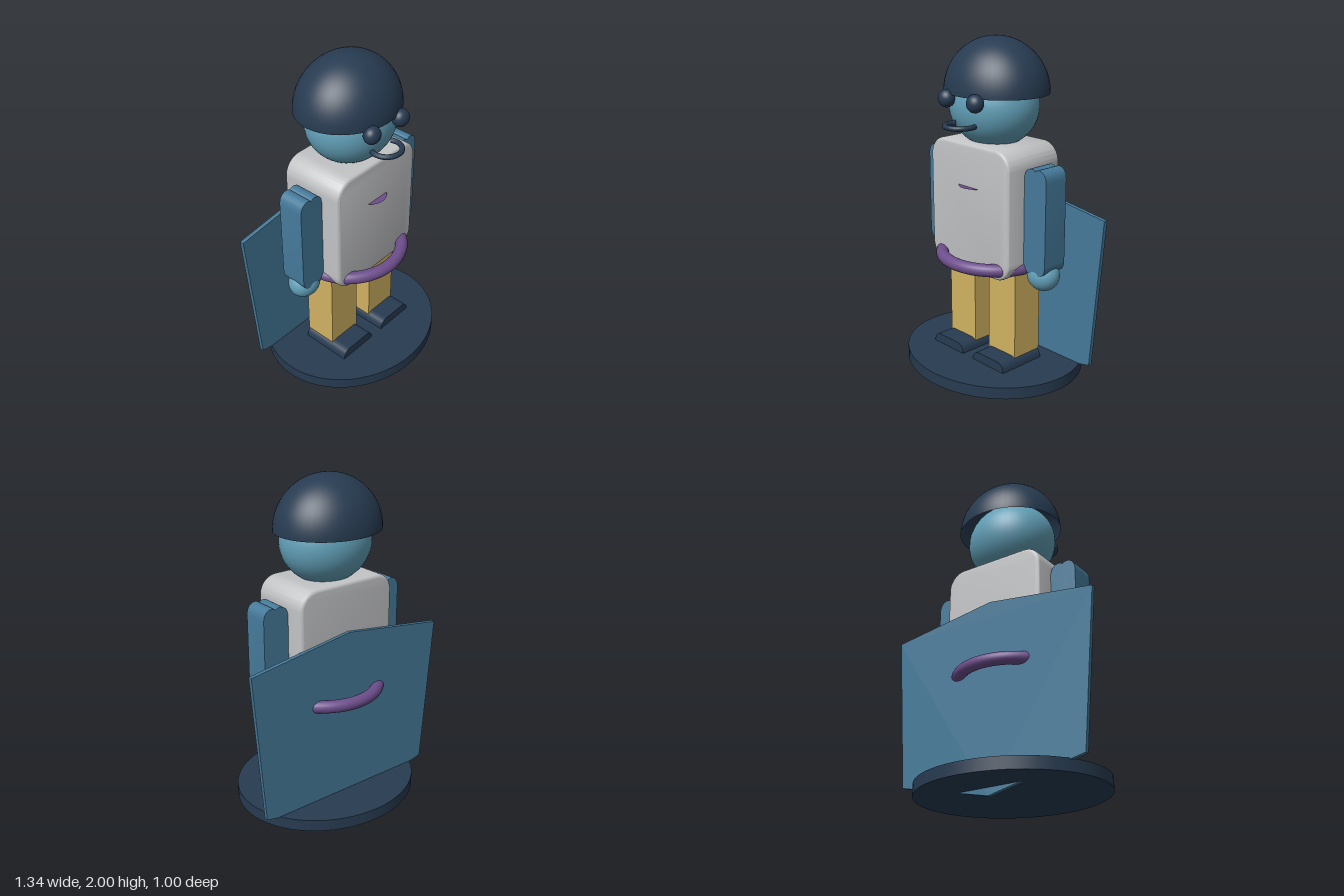
import * as THREE from 'three';
import { toCreasedNormals } from 'three/addons/utils/BufferGeometryUtils.js';

const material = (name, color, side = THREE.FrontSide) => {
  const m = new THREE.MeshStandardMaterial({ color, side });
  m.name = name;
  return m;
};

// Rounded rectangle centred on the origin
function roundedRect(w, h, r) {
  const x = w / 2, y = h / 2;
  const s = new THREE.Shape();
  s.moveTo(-x + r, -y);
  s.lineTo(x - r, -y);
  s.absarc(x - r, -y + r, r, -Math.PI / 2, 0);
  s.lineTo(x, y - r);
  s.absarc(x - r, y - r, r, 0, Math.PI / 2);
  s.lineTo(-x + r, y);
  s.absarc(-x + r, y - r, r, Math.PI / 2, Math.PI);
  s.lineTo(-x, -y + r);
  s.absarc(-x + r, -y + r, r, Math.PI, Math.PI * 1.5);
  return s;
}

// Extrusion centred in depth, with an optional bevel kept inside the total depth
function slab(shape, depth, bevel = 0) {
  const g = new THREE.ExtrudeGeometry(shape, {
    depth: depth - 2 * bevel, curveSegments: 12, bevelEnabled: bevel > 0,
    bevelThickness: bevel, bevelSize: bevel, bevelOffset: -bevel, bevelSegments: 4,
  });
  g.translate(0, 0, -depth / 2 + bevel);
  return toCreasedNormals(g, 0.6);
}

export function createModel() {
  const model = new THREE.Group();
  const navy = material('navy', 0x273b51, THREE.DoubleSide);
  const blue = material('blue', 0x457a9a);
  const skin = material('teal skin', 0x62a0b8);
  const grey = material('light grey', 0xc3c4c6);
  const gold = material('gold', 0xd0b261);
  const purple = material('purple', 0x6d4e8c, THREE.DoubleSide);

  const add = (name, geometry, mat, x, y, z) => {
    const mesh = new THREE.Mesh(geometry, mat);
    mesh.name = name;
    mesh.position.set(x, y, z);
    model.add(mesh);
    return mesh;
  };
  const ball = (rx, ry, rz) => new THREE.SphereGeometry(1, 40, 28).scale(rx, ry, rz);

  // Oval stand
  add('stand', new THREE.CylinderGeometry(1, 1, 0.07, 64).scale(0.565, 1, 0.5), navy, 0, 0.08, 0);

  // Torso, with the belt ring and small chest disc poking out of it
  add('torso', slab(roundedRect(0.65, 0.755, 0.11), 0.4, 0.02), grey, 0, 1.042, 0);
  add('belt', new THREE.TorusGeometry(0.3, 0.037, 20, 64).rotateX(Math.PI / 2).scale(1.05, 1, 1),
    purple, 0, 0.728, 0);
  add('chestDisc', new THREE.CircleGeometry(0.1, 32).rotateX(-Math.PI / 2), purple, 0, 1.17, 0.14);

  // Head and helmet
  add('head', ball(0.275, 0.245, 0.243), skin, 0, 1.62, 0);
  add('helmet', new THREE.SphereGeometry(1, 48, 20, 0, Math.PI * 2, 0, Math.PI / 2)
    .scale(0.322, 0.31, 0.283), navy, 0, 1.69, -0.02);

  // Mouth: flat-lying arc in front of the face
  const arc = Math.PI * 1.25;
  add('mouth', new THREE.TorusGeometry(0.085, 0.015, 12, 32, arc)
    .rotateZ(Math.PI / 2 - arc / 2).rotateX(Math.PI / 2), navy, 0, 1.53, 0.255);

  // Arm outline with a shallow notch at both ends
  const arm = new THREE.Shape();
  arm.moveTo(-0.081, -0.24);
  arm.quadraticCurveTo(-0.078, -0.3, -0.028, -0.305);
  arm.quadraticCurveTo(-0.01, -0.304, 0, -0.293);
  arm.quadraticCurveTo(0.01, -0.304, 0.028, -0.305);
  arm.quadraticCurveTo(0.078, -0.3, 0.081, -0.24);
  arm.lineTo(0.081, 0.24);
  arm.quadraticCurveTo(0.078, 0.3, 0.028, 0.305);
  arm.quadraticCurveTo(0.01, 0.304, 0, 0.293);
  arm.quadraticCurveTo(-0.01, 0.304, -0.028, 0.305);
  arm.quadraticCurveTo(-0.078, 0.3, -0.081, 0.24);

  // Shoe outline, rounded along its top edges
  const shoe = new THREE.Shape();
  shoe.moveTo(-0.13, 0);
  shoe.lineTo(0.13, 0);
  shoe.quadraticCurveTo(0.125, 0.06, 0.075, 0.06);
  shoe.lineTo(-0.075, 0.06);
  shoe.quadraticCurveTo(-0.125, 0.06, -0.13, 0);

  // Paired parts
  for (const [side, s] of [['left', 1], ['right', -1]]) {
    add(side + 'Eye', ball(0.052, 0.051, 0.046), navy, s * 0.117, 1.667, 0.252);
    add(side + 'Arm', slab(arm, 0.16), blue, s * 0.406, 1.022, 0);
    add(side + 'Hand', ball(0.098, 0.093, 0.087), skin, s * 0.404, 0.7, 0);
    add(side + 'Leg', new THREE.BoxGeometry(0.22, 0.59, 0.2), gold, s * 0.17, 0.4, 0);
    add(side + 'Shoe', slab(shoe, 0.31), navy, s * 0.174, 0.112, 0.062);
  }

  // Stiff cape behind the body
  const cape = new THREE.Shape([[0, 0], [0.595, 0.13], [0.67, 1.035], [0, 1.13], [-0.67, 1.035], [-0.595, 0.13]]
    .map(([x, y]) => new THREE.Vector2(x, y)));
  add('cape', slab(cape, 0.025), blue, 0, 0, -0.208);

  return model;
}
